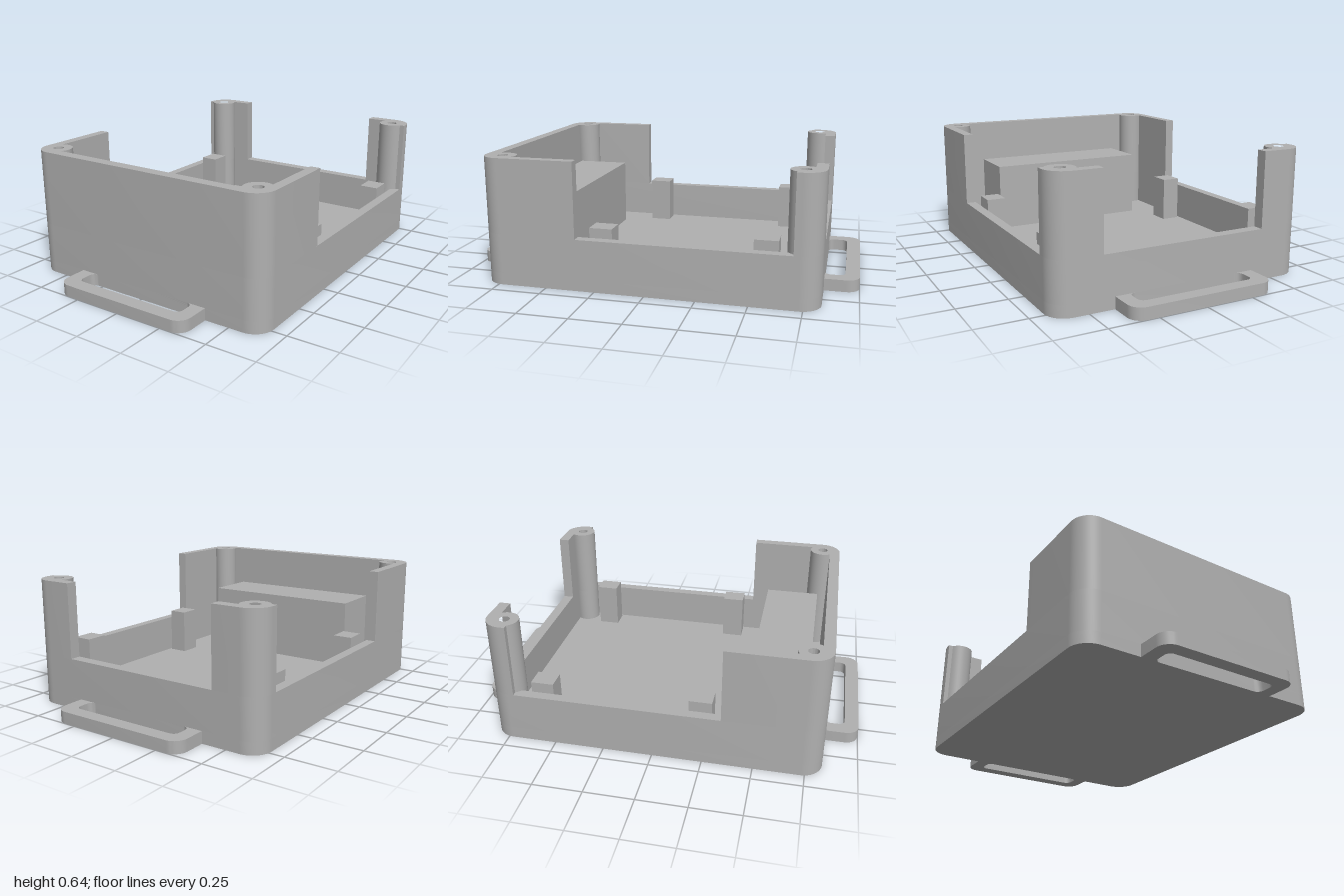
import * as THREE from 'three';
import { toCreasedNormals } from 'three/addons/utils/BufferGeometryUtils.js';

const W = 0.675, D = 0.83;            // outer half width and half depth
const IW = 0.625, ID = 0.775;         // inner half width and half depth
const FLOOR = 0.06, LOW = 0.26, TOP = 0.64;
const BOSS = { x: 0.59, z: 0.735, r: 0.07, hole: 0.026 };

const v = (x, z) => new THREE.Vector2(x, z);

// Arc points in the corner chosen by the signs sx, sz; angles in degrees
function arc(sx, sz, cx, cz, r, from, to, n = 14) {
  const pts = [];
  for (let i = 0; i <= n; i++) {
    const a = THREE.MathUtils.degToRad(from + (to - from) * i / n);
    pts.push(v(sx * (cx + r * Math.cos(a)), sz * (cz + r * Math.sin(a))));
  }
  return pts;
}

// Outer corner and screw boss bulge, both running from side wall to end wall
const outer = (sx, sz) => arc(sx, sz, W - 0.1, D - 0.1, 0.1, 0, 90);
const boss = (sx, sz, start = -60) => arc(sx, sz, BOSS.x, BOSS.z, BOSS.r, start, -214.9, 18);

// Loop around all four corners
const loop = (corner) => [
  ...corner(1, 1), ...corner(-1, 1).reverse(),
  ...corner(-1, -1), ...corner(1, -1).reverse(),
];

function screwHole(sx, sz) {
  const path = new THREE.Path();
  path.absarc(sx * BOSS.x, sz * BOSS.z, BOSS.hole, 0, Math.PI * 2, true);
  return path;
}

// Raise a plan outline (x, z) from y0 to y1
function raise(points, holes, y0, y1) {
  const shape = new THREE.Shape(points);
  shape.holes.push(...holes);
  const geo = new THREE.ExtrudeGeometry(shape, { depth: y1 - y0, bevelEnabled: false, curveSegments: 24 });
  geo.rotateX(Math.PI / 2);
  geo.translate(0, y1, 0);
  return toCreasedNormals(geo, 0.6);
}

export function createModel() {
  const model = new THREE.Group();
  model.name = 'enclosure';
  const grey = new THREE.MeshStandardMaterial({ color: 0xb0b0b0 });
  grey.name = 'grey plastic';

  const add = (name, geo) => {
    const mesh = new THREE.Mesh(geo, grey);
    mesh.name = name;
    model.add(mesh);
    return mesh;
  };
  const addBox = (name, w, h, d, x, y, z) =>
    add(name, new THREE.BoxGeometry(w, h, d)).position.set(x, y, z);

  // Floor plate
  add('floor', raise(loop(outer), [], 0, FLOOR));

  // Low wall all the way round, with the screw bosses
  const corners = [[1, 1], [-1, 1], [-1, -1], [1, -1]];
  add('lowerWall', raise(loop(outer),
    [new THREE.Path(loop((sx, sz) => boss(sx, sz))), ...corners.map(([sx, sz]) => screwHole(sx, sz))],
    FLOOR, LOW));

  // Tall U-shaped front wall
  add('frontWall', raise([
    v(W, 0.34), ...outer(1, 1), ...outer(-1, 1).reverse(), v(-W, 0.34),
    v(-IW, 0.34), ...boss(-1, 1), ...boss(1, 1).reverse(), v(IW, 0.34),
  ], [screwHole(1, 1), screwHole(-1, 1)], LOW, TOP));

  for (const s of [1, -1]) {
    const side = s > 0 ? 'left' : 'right';

    // Tall back corner column
    add(side + 'BackCorner', raise([
      v(s * 0.43, -D), ...outer(s, -1).reverse(), v(s * W, -0.7),
      ...boss(s, -1, -30), v(s * 0.43, -ID),
    ], [screwHole(s, -1)], LOW, TOP));

    // Support posts beside the side walls
    for (const [end, z] of [['Front', 0.23], ['Back', -0.57]])
      addBox(side + end + 'Post', 0.1, 0.305 - FLOOR, 0.115, s * 0.56, (0.305 + FLOOR) / 2, z);

    // Strap lug on the front or back end
    const slot = new THREE.Path();
    const corner = (sx, sz) => arc(sx, sz, 0.275, 0.02, 0.03, 0, 90, 6);
    slot.setFromPoints(loop(corner).map((p) => v(p.x, s * (D + 0.05) + p.y)));
    const lug = [
      v(0.375, s * (D - 0.01)),
      ...arc(1, s, 0.31, 0.935, 0.065, 0, 90, 10),
      ...arc(-1, s, 0.31, 0.935, 0.065, 0, 90, 10).reverse(),
      v(-0.375, s * (D - 0.01)),
    ];
    add(s > 0 ? 'frontLug' : 'backLug', raise(lug, [slot], 0, FLOOR));
  }

  // Raised block inside the front wall
  addBox('innerBlock', 0.885, 0.425 - FLOOR, 0.285, 0, (0.425 + FLOOR) / 2, 0.585);

  return model;
}
